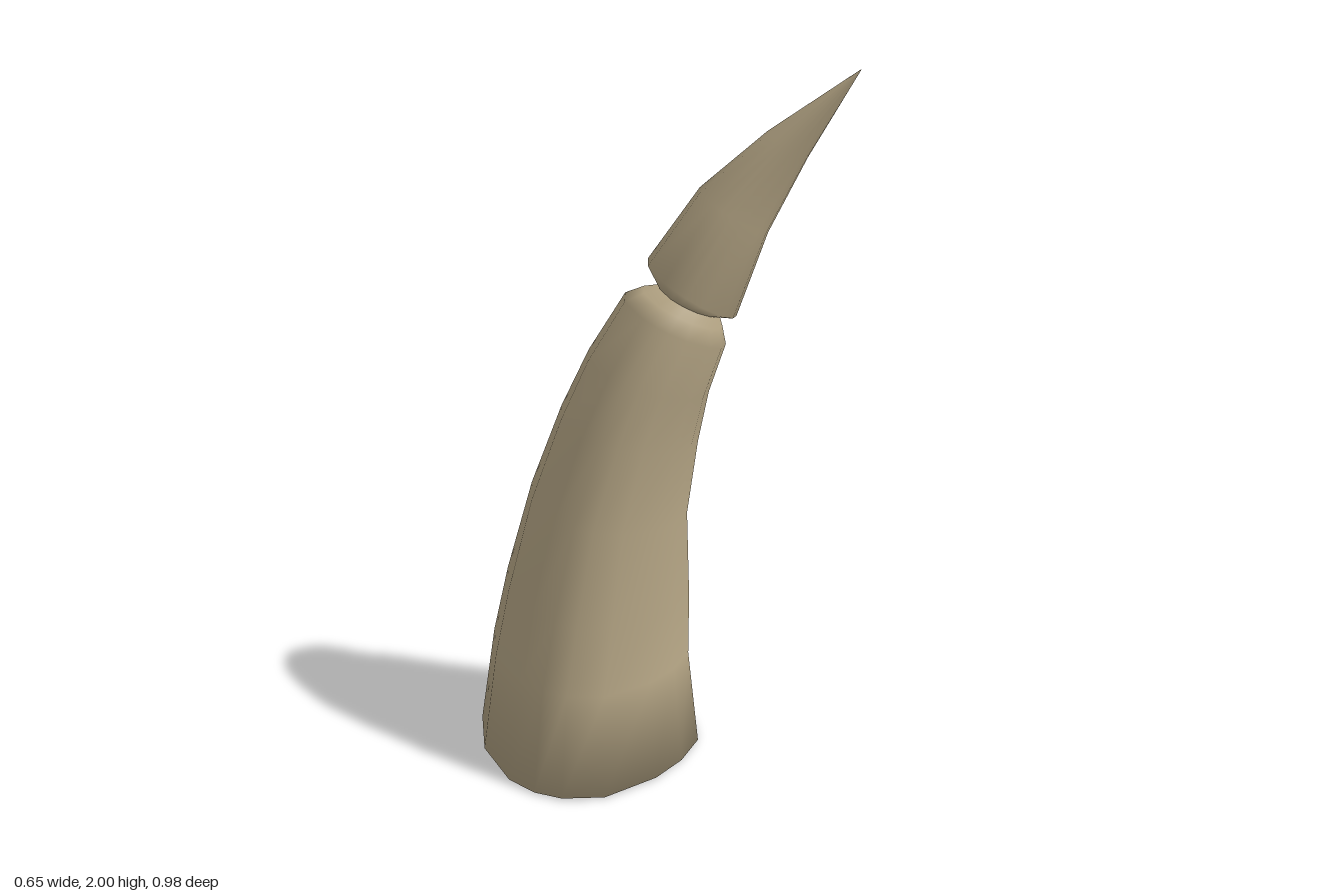
import * as THREE from 'three';

// Irregular outline of the base, [x, z] around its centre
const outline = [
  [0.04, -0.32], [0.18, -0.25], [0.28, -0.10], [0.32, 0.01], [0.32, 0.10],
  [0.27, 0.22], [0.19, 0.29], [0.07, 0.32], [-0.05, 0.32], [-0.22, 0.27],
  [-0.30, 0.18], [-0.325, 0.10], [-0.32, 0], [-0.24, -0.17], [-0.11, -0.30],
].map(([x, z]) => new THREE.Vector2(x, z));

// Each section: [x, y, z, radius, tilt, roundness]
const bodySections = [
  [0.00, 0.005, -0.17, 0.325, 0, 0],
  [0.01, 0.30, -0.165, 0.287, 0.02, 0.1],
  [0.02, 0.50, -0.14, 0.265, 0.05, 0.25],
  [0.035, 0.77, -0.103, 0.223, 0.10, 0.5],
  [0.063, 1.00, -0.048, 0.193, 0.16, 0.7],
  [0.088, 1.16, 0.002, 0.168, 0.24, 0.9],
  [0.122, 1.315, 0.068, 0.139, 0.38, 1],
  [0.13, 1.352, 0.088, 0.108, 0.38, 1],
  [0.135, 1.375, 0.107, 0.08, 0.38, 1],
];
const tipSections = [
  [0.135, 1.372, 0.107, 0.08, 0.38, 1],
  [0.14, 1.407, 0.11, 0.121, 0.5, 1],
  [0.20, 1.62, 0.198, 0.092, 0.5, 1],
  [0.26, 1.80, 0.32, 0.053, 0.5, 1],
  [0.321, 2.00, 0.49, 0.001, 0, 1],
];

// Skin tilted sections into one smooth surface, optionally closed below
function loft(sections, capBottom) {
  const n = outline.length, pos = [], idx = [];
  for (const [x, y, z, r, tilt, round] of sections) {
    for (const p of outline) {
      const q = p.clone().divideScalar(0.325).lerp(p.clone().normalize(), round).multiplyScalar(r);
      pos.push(x + q.x, y - tilt * (0.7 * q.x + q.y), z + q.y);
    }
  }
  for (let i = 0; i < sections.length - 1; i++) {
    for (let j = 0; j < n; j++) {
      const a = i * n + j, b = i * n + (j + 1) % n;
      idx.push(b, a, a + n, b, a + n, b + n);
    }
  }
  if (capBottom) {
    const c = pos.length / 3;
    pos.push(sections[0][0], 0, sections[0][2]);
    for (let j = 0; j < n; j++) idx.push(c, j, (j + 1) % n);
  }
  const geo = new THREE.BufferGeometry();
  geo.setAttribute('position', new THREE.Float32BufferAttribute(pos, 3));
  geo.setIndex(idx);
  geo.computeVertexNormals();
  return geo;
}

export function createModel() {
  const group = new THREE.Group();
  group.name = 'horn';
  const bone = new THREE.MeshStandardMaterial({ color: 0xb9a988 });
  bone.name = 'bone';

  // Thick curved lower segment, narrowing to the neck
  const body = new THREE.Mesh(loft(bodySections, true), bone);
  body.name = 'hornBody';

  // Pointed end segment
  const tip = new THREE.Mesh(loft(tipSections, false), bone);
  tip.name = 'hornTip';

  group.add(body, tip);
  return group;
}
